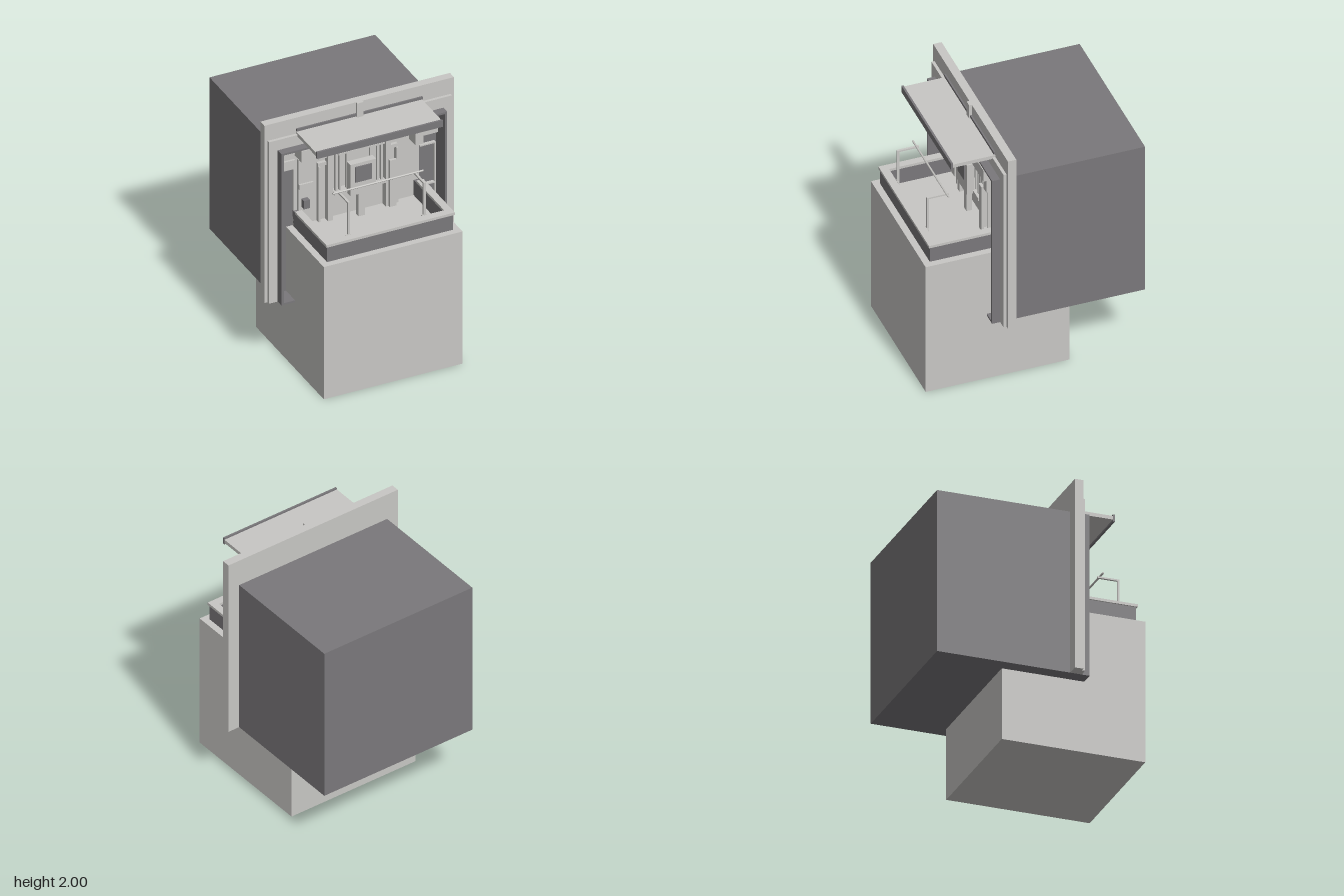
import * as THREE from 'three';

export function createModel() {
  const root = new THREE.Group();
  const light = new THREE.MeshStandardMaterial({ color: 0xc8c7c4 });
  light.name = 'light stone';
  const dark = new THREE.MeshStandardMaterial({ color: 0x7a787b });
  dark.name = 'dark metal';

  // Box given by its lower and upper limits on each axis
  const box = (name, mat, x0, x1, y0, y1, z0, z1, parent = root) => {
    const m = new THREE.Mesh(new THREE.BoxGeometry(x1 - x0, y1 - y0, z1 - z0), mat);
    m.position.set((x0 + x1) / 2, (y0 + y1) / 2, (z0 + z1) / 2);
    m.name = name;
    parent.add(m);
    return m;
  };
  // The same box on both sides
  const pair = (name, mat, x0, x1, ...rest) => {
    box(name + 'Left', mat, x0, x1, ...rest);
    box(name + 'Right', mat, -x1, -x0, ...rest);
  };
  // Doorway-shaped frame, open at the bottom
  const doorway = (name, mat, outer, top, inner, innerTop, bottom, z0, z1) => {
    const s = new THREE.Shape([
      [-outer, bottom], [-inner, bottom], [-inner, innerTop], [inner, innerTop],
      [inner, bottom], [outer, bottom], [outer, top], [-outer, top],
    ].map(([x, y]) => new THREE.Vector2(x, y)));
    const m = new THREE.Mesh(new THREE.ExtrudeGeometry(s, { depth: z1 - z0, bevelEnabled: false }), mat);
    m.position.z = z0;
    m.name = name;
    root.add(m);
  };

  // Main masses
  box('base', light, -0.54, 0.54, 0, 1.085, -0.275, 0.8);
  box('rearBody', dark, -0.645, 0.645, 0.545, 1.787, -0.8, 0.2);
  doorway('enclosureMouth', dark, 0.645, 1.787, 0.627, 1.772, 0.545, 0.2, 0.343);
  pair('mouthFloor', dark, 0.5, 0.63, 0.545, 0.56, 0.2, 0.343);
  doorway('wallFrame', light, 0.738, 2, 0.645, 1.787, 0.545, 0.197, 0.26);
  doorway('frameTrim', light, 0.712, 1.87, 0.645, 1.787, 0.545, 0.26, 0.283);

  // Canopy with its lip, rail and bracket
  box('canopyPlate', light, -0.49, 0.49, 1.857, 1.885, 0.26, 0.577);
  box('canopyLip', dark, -0.49, 0.49, 1.843, 1.897, 0.577, 0.592);
  box('canopyRail', dark, -0.49, 0.49, 1.892, 1.912, 0.26, 0.272);
  box('canopyBracket', light, -0.025, 0.025, 1.885, 2, 0.26, 0.28);

  // Balcony tray: dark walls below a light rim
  pair('trayWall', dark, 0.447, 0.49, 1.085, 1.21, 0.2, 0.75);
  box('trayFront', dark, -0.45, 0.45, 1.085, 1.21, 0.7, 0.75);
  pair('trayRim', light, 0.445, 0.5, 1.21, 1.23, 0.26, 0.76);
  box('trayRimFront', light, -0.445, 0.445, 1.21, 1.23, 0.7, 0.76);

  // Back panel and header
  box('backPanel', light, -0.49, 0.49, 1.085, 1.772, 0.2, 0.215);
  box('header', light, -0.49, 0.49, 1.677, 1.77, 0.215, 0.348);
  box('headerLedge', light, -0.46, 0.48, 1.655, 1.677, 0.215, 0.26);
  box('cornerBox', light, 0.41, 0.47, 1.56, 1.677, 0.215, 0.32);

  // Side louvres
  for (let i = 0; i < 5; i++) {
    const y = 1.562 + i * 0.042;
    pair('louvre', light, 0.49, 0.627, y, y + 0.039, 0.2, 0.23 + (i % 2) * 0.012);
  }

  // Pipe frame on the left side panel
  for (const y of [0.61, 0.88, 1.15, 1.475]) box('sidePipe', light, 0.49, 0.615, y, y + 0.01, 0.2, 0.225);
  box('sidePipeUpright', light, 0.605, 0.615, 0.61, 1.485, 0.2, 0.225);

  // Panels and uprights on the back wall
  box('sidePlate', light, -0.46, -0.34, 1.43, 1.63, 0.215, 0.235);
  box('sidePlateTab', light, -0.46, -0.35, 1.39, 1.43, 0.215, 0.25);
  box('sidePlateLower', light, -0.46, -0.38, 1.085, 1.39, 0.215, 0.235);
  box('controlBox', dark, -0.437, -0.39, 1.24, 1.308, 0.235, 0.275);
  pair('column', light, 0.205, 0.245, 1.085, 1.627, 0.215, 0.265);
  pair('columnCap', light, 0.245, 0.31, 1.6, 1.627, 0.215, 0.25);
  pair('columnArm', light, 0.245, 0.31, 1.535, 1.562, 0.215, 0.24);
  pair('slimColumn', light, 0.295, 0.31, 1.085, 1.535, 0.215, 0.25);
  box('narrowPanel', light, 0.228, 0.28, 1.085, 1.465, 0.265, 0.285);

  // Central console
  box('consoleTopBar', light, -0.18, 0.18, 1.627, 1.64, 0.215, 0.3);
  box('consoleTopBlock', light, -0.025, 0.025, 1.64, 1.677, 0.215, 0.3);
  for (const x of [0.085, 0.14, 0.17]) pair('consoleRod', light, x, x + 0.014, 1.31, 1.627, 0.24, 0.26);
  box('consoleShelf', light, -0.2, 0.2, 1.29, 1.313, 0.215, 0.28);
  box('consoleBody', light, -0.1, 0.1, 1.285, 1.54, 0.27, 0.325);
  box('consoleScreen', dark, -0.065, 0.065, 1.39, 1.515, 0.325, 0.334);
  box('consolePost', light, -0.025, 0.025, 1.085, 1.285, 0.26, 0.3);

  // Handrail: posts, arms and crossbar
  pair('railPost', light, 0.287, 0.303, 1.085, 1.495, 0.684, 0.7);
  pair('railArm', light, 0.287, 0.303, 1.483, 1.495, 0.535, 0.684);
  pair('railFoot', light, 0.272, 0.318, 1.2, 1.232, 0.69, 0.702);
  const bar = new THREE.Mesh(new THREE.CylinderGeometry(0.007, 0.007, 0.705, 10), light);
  bar.rotation.z = Math.PI / 2;
  bar.position.set(0, 1.503, 0.558);
  bar.name = 'handrail';
  root.add(bar);

  return root;
}
